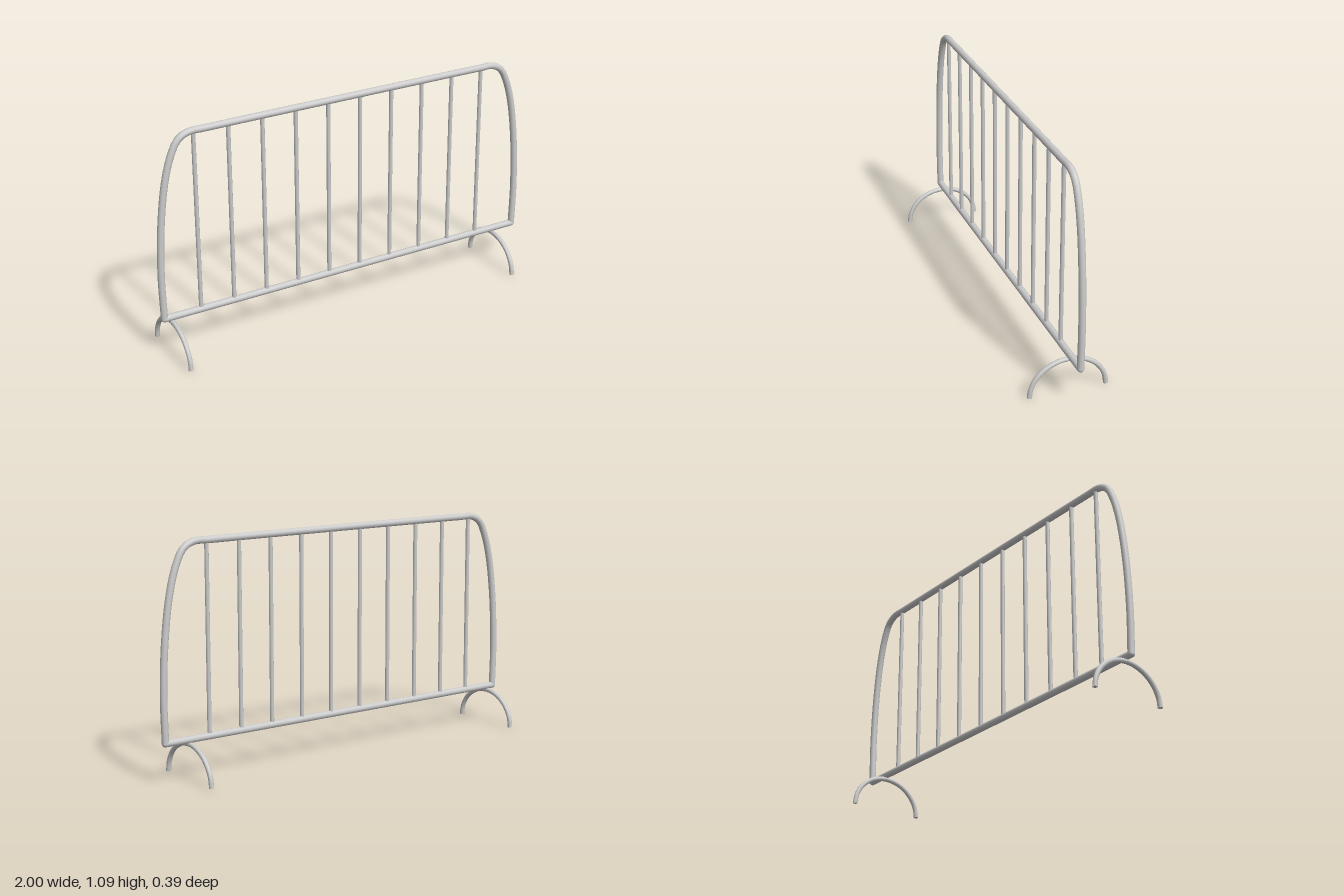
import * as THREE from 'three';

const material = new THREE.MeshStandardMaterial({ color: 0xcccccc });
const PLANE_Z = -0.005;
const RAIL_R = 0.0165, BAR_R = 0.01, FOOT_R = 0.0115;

function add(parent, name, geometry, x = 0, y = 0, z = 0) {
  const mesh = new THREE.Mesh(geometry, material);
  mesh.name = name;
  mesh.position.set(x, y, z);
  parent.add(mesh);
  return mesh;
}

export function createModel() {
  const group = new THREE.Group();
  group.name = 'crowdBarrier';

  // Outer hoop: bowed sides joined by a straight top rail
  const side = [[0.979, 0.185], [0.983, 0.4], [0.97, 0.65], [0.94, 0.86],
    [0.905, 0.98], [0.868, 1.047], [0.815, 1.074], [0.74, 1.075]];
  const left = side.map(([x, y]) => new THREE.Vector3(-x, y, PLANE_Z));
  const right = side.map(([x, y]) => new THREE.Vector3(x, y, PLANE_Z)).reverse();
  const hoop = new THREE.CatmullRomCurve3([...left, ...right], false, 'centripetal');
  add(group, 'hoopFrame', new THREE.TubeGeometry(hoop, 120, RAIL_R, 12));

  // Bottom rail with rounded joints at the corners
  add(group, 'bottomRail', new THREE.CylinderGeometry(RAIL_R, RAIL_R, 1.96, 12), 0, 0.186, PLANE_Z)
    .rotation.z = Math.PI / 2;
  for (const s of [-1, 1]) {
    add(group, 'cornerJoint', new THREE.SphereGeometry(RAIL_R, 12, 8), s * 0.979, 0.186, PLANE_Z);
  }

  // Evenly spaced vertical bars
  for (let i = 0; i < 10; i++) {
    add(group, 'verticalBar', new THREE.CylinderGeometry(BAR_R, BAR_R, 0.89, 10),
      -0.793 + i * 0.1713, 0.63, PLANE_Z);
  }

  // Arched feet, offset along the rail
  const points = [];
  for (let i = 0; i <= 12; i++) {
    const a = (i / 12) * Math.PI;
    points.push(new THREE.Vector3(0, 0.164 * Math.sin(a), 0.183 * Math.cos(a)));
  }
  const arch = new THREE.CatmullRomCurve3(points);
  for (const x of [-0.944, 0.855]) {
    const foot = new THREE.Group();
    foot.name = 'archedFoot';
    foot.position.x = x;
    add(foot, 'footTube', new THREE.TubeGeometry(arch, 24, FOOT_R, 10));
    for (const s of [-1, 1]) {
      add(foot, 'footEnd', new THREE.CircleGeometry(FOOT_R, 10), 0, 0, s * 0.183).rotation.x = Math.PI / 2;
    }
    group.add(foot);
  }
  return group;
}
